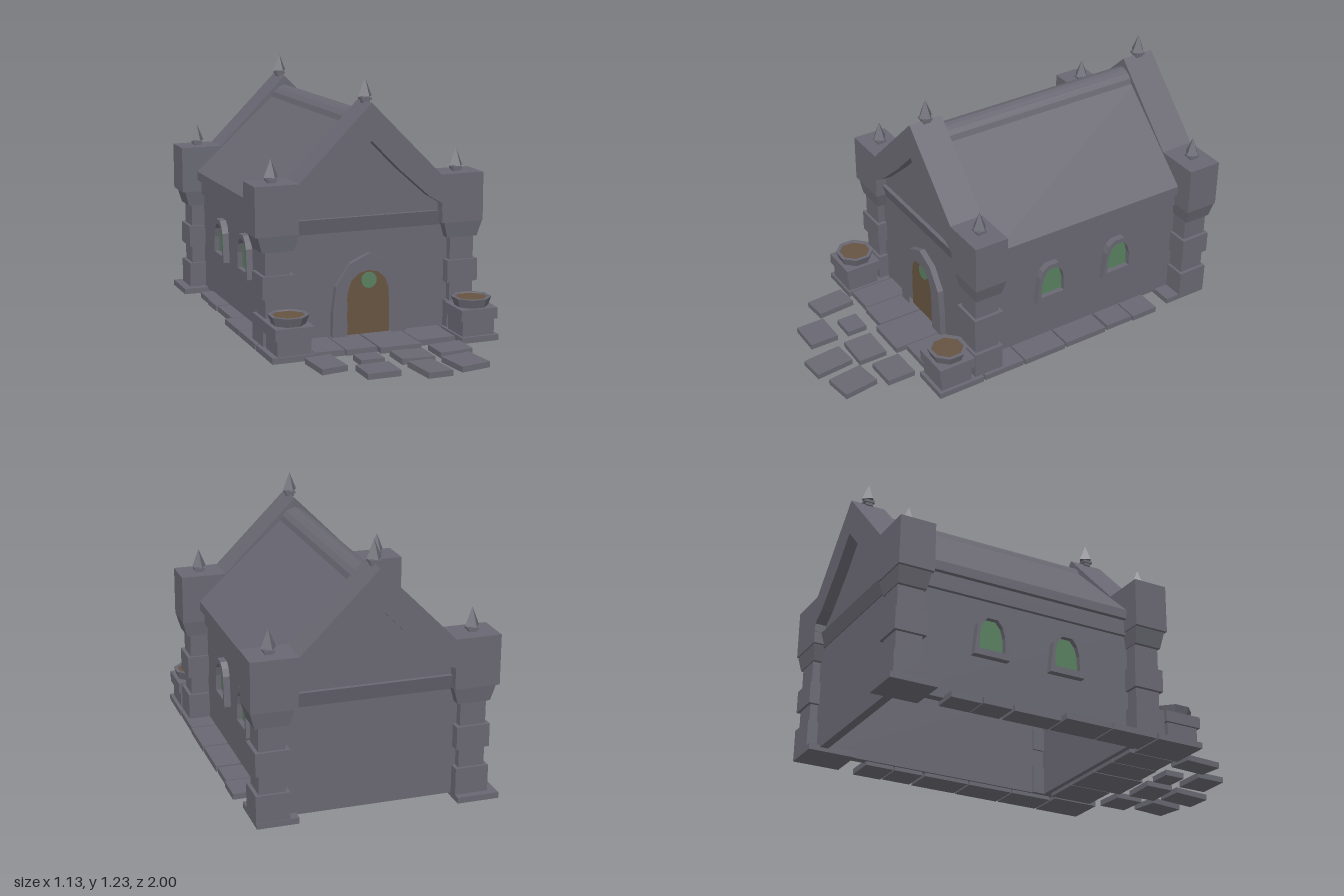
import * as THREE from 'three';

const material = (name, color) => {
  const m = new THREE.MeshStandardMaterial({ color });
  m.name = name;
  return m;
};

export function createModel() {
  const stone = material('stone', 0x696872);
  const wood = material('wood', 0x665441);
  const glass = material('greenGlass', 0x588060);
  const model = new THREE.Group();
  model.name = 'stoneChapel';

  const add = (parent, name, geometry, mat = stone) => {
    const mesh = new THREE.Mesh(geometry, mat);
    mesh.name = name;
    parent.add(mesh);
    return mesh;
  };
  const group = (name, parent = model) => {
    const g = new THREE.Group();
    g.name = name;
    parent.add(g);
    return g;
  };
  // Box between two corners
  const box = (parent, name, [x0, x1], [y0, y1], [z0, z1], mat) =>
    add(parent, name, new THREE.BoxGeometry(x1 - x0, y1 - y0, z1 - z0)
      .translate((x0 + x1) / 2, (y0 + y1) / 2, (z0 + z1) / 2), mat);
  const toShape = (pts) => new THREE.Shape(pts.map(([x, y]) => new THREE.Vector2(x, y)));
  // Outline extruded from z0 to z1, with an optional hole
  const slab = (parent, name, pts, z0, z1, mat, hole) => {
    const shape = toShape(pts);
    if (hole) shape.holes.push(toShape(hole));
    const geo = new THREE.ExtrudeGeometry(shape, { depth: z1 - z0, bevelEnabled: false });
    return add(parent, name, geo.translate(0, 0, z0), mat);
  };
  const mirrored = (pts) => [...pts, ...pts.filter((p) => p[0] !== 0).reverse().map(([x, y]) => [-x, y])];

  // Spiked finial on a short neck
  const finial = (parent, x, y, z) => {
    const g = group('finial', parent);
    g.position.set(x, y, z);
    add(g, 'finialNeck', new THREE.BoxGeometry(0.035, 0.03, 0.035).translate(0, 0.01, 0));
    add(g, 'finialCollar', new THREE.BoxGeometry(0.048, 0.012, 0.048).translate(0, 0.014, 0));
    const spike = add(g, 'finialSpike', new THREE.ConeGeometry(0.037, 0.085, 4).toNonIndexed());
    spike.geometry.computeVertexNormals();
    spike.position.y = 0.068;
    spike.rotation.y = 0.2;
  };

  // Corner pillars: stacked blocks, flared corbel, heavy cap and finial
  const pillar = (x, z) => {
    const g = group('cornerPillar');
    g.position.set(x, 0, z);
    const blocks = [[0.03, 0.165, 0.077, 0.075], [0.165, 0.255, 0.06, 0.062],
      [0.255, 0.362, 0.077, 0.075], [0.362, 0.475, 0.06, 0.062]];
    for (const [y0, y1, hx, hz] of blocks) box(g, 'pillarBlock', [-hx, hx], [y0, y1], [-hz, hz]);
    const corbel = box(g, 'pillarCorbel', [-0.098, 0.098], [0.47, 0.546], [-0.078, 0.078]);
    const p = corbel.geometry.attributes.position;
    for (let i = 0; i < p.count; i++) {
      if (p.getY(i) < 0.5) p.setXYZ(i, p.getX(i) * 0.78, p.getY(i), p.getZ(i) * 0.86);
    }
    corbel.geometry = corbel.geometry.toNonIndexed();
    corbel.geometry.computeVertexNormals();
    const cx = x < 0 ? -0.008 : -0.006;
    box(g, 'pillarCap', [cx - 0.104, cx + 0.104], [0.545, 0.776], [-0.084, 0.084]);
    finial(g, cx, 0.776, 0);
  };
  for (const z of [0.301, -0.893]) for (const x of [-0.447, 0.467]) pillar(x, z);

  // End walls with a steep gable and a sunken triangular panel
  const gableEdge = [[-0.36, 0.6], [-0.36, 0.776], [-0.35, 0.776], [0, 1.126], [0.35, 0.776], [0.36, 0.776],
    [0.36, 0.6], [0.355, 0.6], [0.355, 0.64], [0.29, 0.678], [0.13, 0.82], [0, 0.952],
    [-0.13, 0.82], [-0.29, 0.678], [-0.355, 0.64], [-0.355, 0.6]];
  const endWall = (name, z, turn) => {
    const g = group(name);
    g.position.z = z;
    g.rotation.y = turn;
    slab(g, 'gableCoping', gableEdge, -0.084, 0.084);
    slab(g, 'gablePanel', mirrored([[0.356, 0.56], [0.356, 0.7], [0, 1.05]]), -0.08, 0.03);
    box(g, 'lowerWall', [-0.43, 0.43], [0.03, 0.57], [-0.015, 0.025]);
    // Sloped string course under the panel
    const course = toShape([[0.02, 0.53], [0.03, 0.53], [0.05, 0.6], [0.02, 0.6]]);
    const geo = new THREE.ExtrudeGeometry(course, { depth: 0.74, bevelEnabled: false });
    add(g, 'stringCourse', geo.translate(0, 0, -0.37).rotateY(-Math.PI / 2).scale(1, 1, 1));
    finial(g, 0, 1.122, 0);
    return g;
  };
  const front = endWall('frontWall', 0.301, 0);
  endWall('backWall', -0.893, Math.PI);

  // Door with arched stone surround and a round window
  const doorLine = [[-0.108, 0.035], [-0.104, 0.09], [-0.109, 0.13], [-0.105, 0.18], [-0.108, 0.22], [-0.1, 0.265],
    [-0.085, 0.305], [-0.045, 0.337], [0, 0.346], [0.05, 0.335], [0.09, 0.3], [0.108, 0.25], [0.111, 0.15], [0.111, 0.035]];
  const archLine = [[-0.18, 0.03], [-0.177, 0.16], [-0.162, 0.278], [-0.09, 0.383], [0.006, 0.426],
    [0.103, 0.386], [0.175, 0.285], [0.188, 0.16], [0.193, 0.03]];
  slab(front, 'doorSurround', archLine, 0.02, 0.054, stone, doorLine);
  slab(front, 'door', doorLine, 0.026, 0.034, wood);
  const pane = add(front, 'doorWindow', new THREE.CylinderGeometry(0.038, 0.038, 0.006, 16).rotateX(Math.PI / 2), glass);
  pane.position.set(0.008, 0.295, 0.036);

  // Side walls with eaves moulding and arched windows
  const frameLine = mirrored([[0.088, 0.255], [0.072, 0.4], [0.058, 0.435], [0.03, 0.46]]);
  const paneLine = mirrored([[0.064, 0.286], [0.062, 0.36], [0.05, 0.405], [0.025, 0.436]]);
  for (const side of [1, -1]) {
    const g = group(side > 0 ? 'leftWall' : 'rightWall');
    g.rotation.y = side * Math.PI / 2;
    // Local x runs along the wall, local z points outward
    const along = (a, b) => [Math.min(-a * side, -b * side), Math.max(-a * side, -b * side)];
    box(g, 'wallFace', along(-0.88, 0.29), [0.03, 0.57], [0.4, 0.44]);
    box(g, 'eavesMoulding', along(-0.86, 0.27), [0.53, 0.607], [0.4, 0.458]);
    for (const z of [-0.099, -0.479]) {
      const w = group('window', g);
      w.position.x = -z * side;
      slab(w, 'windowFrame', frameLine, 0.43, 0.472, stone, paneLine);
      slab(w, 'windowPane', paneLine, 0.44, 0.447, glass);
    }
  }

  // Roof with a rounded ridge
  const roofLine = mirrored([[0.48, 0.605], [0.48, 0.65], [0.072, 1.02], [0.062, 1.045], [0.042, 1.064], [0.02, 1.075], [0, 1.08]]);
  slab(model, 'roof', roofLine, -0.83, 0.24);

  // Pedestals carrying shallow bowls beside the entrance
  for (const x of [-0.437, 0.466]) {
    const g = group('bowlPedestal');
    g.position.set(x, 0, 0.478);
    box(g, 'pedestalBase', [-0.08, 0.08], [0.03, 0.115], [-0.08, 0.08]);
    box(g, 'pedestalTop', [-0.092, 0.092], [0.115, 0.168], [-0.092, 0.092]);
    const profile = [[0, 0.166], [0.078, 0.166], [0.094, 0.21], [0.076, 0.21], [0.07, 0.196]];
    const bowl = new THREE.LatheGeometry(profile.map(([r, y]) => new THREE.Vector2(r, y)), 8, Math.PI / 8).toNonIndexed();
    bowl.computeVertexNormals();
    add(g, 'bowl', bowl);
    add(g, 'bowlFilling', new THREE.CylinderGeometry(0.076, 0.076, 0.008, 8)
      .rotateY(Math.PI / 8).translate(0, 0.202, 0), wood);
  }

  // Paving around the walls: x range, z range
  const paving = [
    [-0.565, -0.37, -1, -0.78], [-0.507, -0.39, -0.69, -0.545], [-0.513, -0.39, -0.54, -0.4],
    [-0.507, -0.39, -0.385, -0.155], [-0.543, -0.39, -0.148, 0.083], [-0.543, -0.39, 0.09, 0.32],
    [-0.543, -0.345, 0.33, 0.567], [0.35, 0.54, -0.97, -0.745], [0.41, 0.562, -0.66, -0.52],
    [0.41, 0.555, -0.513, -0.37], [0.41, 0.56, -0.355, -0.127], [0.41, 0.563, -0.117, 0.11],
    [0.41, 0.56, 0.118, 0.33], [0.375, 0.563, 0.34, 0.575], [-0.34, -0.195, 0.31, 0.55],
    [-0.19, -0.042, 0.31, 0.557], [-0.034, 0.167, 0.31, 0.583], [0.172, 0.36, 0.31, 0.53]];
  const path = group('paving');
  for (const [x0, x1, z0, z1] of paving) box(path, 'pavingSlab', [x0, x1], [0.012, 0.04], [z0, z1]);

  // Loose stepping stones: x, z, width, depth, turn
  const steps = [
    [-0.333, 0.677, 0.122, 0.187, 0.07], [-0.127, 0.667, 0.112, 0.1, 0], [0.07, 0.7, 0.16, 0.142, 0],
    [0.275, 0.66, 0.157, 0.14, 0], [-0.153, 0.841, 0.156, 0.142, 0],
    [0.068, 0.895, 0.122, 0.19, 0.09], [0.254, 0.863, 0.142, 0.172, 0.12]];
  steps.forEach(([x, z, w, d, turn], i) => {
    const stepStone = add(path, 'steppingStone', new THREE.BoxGeometry(w, 0.027, d));
    stepStone.position.set(x, 0.022, z);
    stepStone.rotation.set(0, turn, [0.03, 0, -0.03][i % 3]);
  });

  return model;
}
